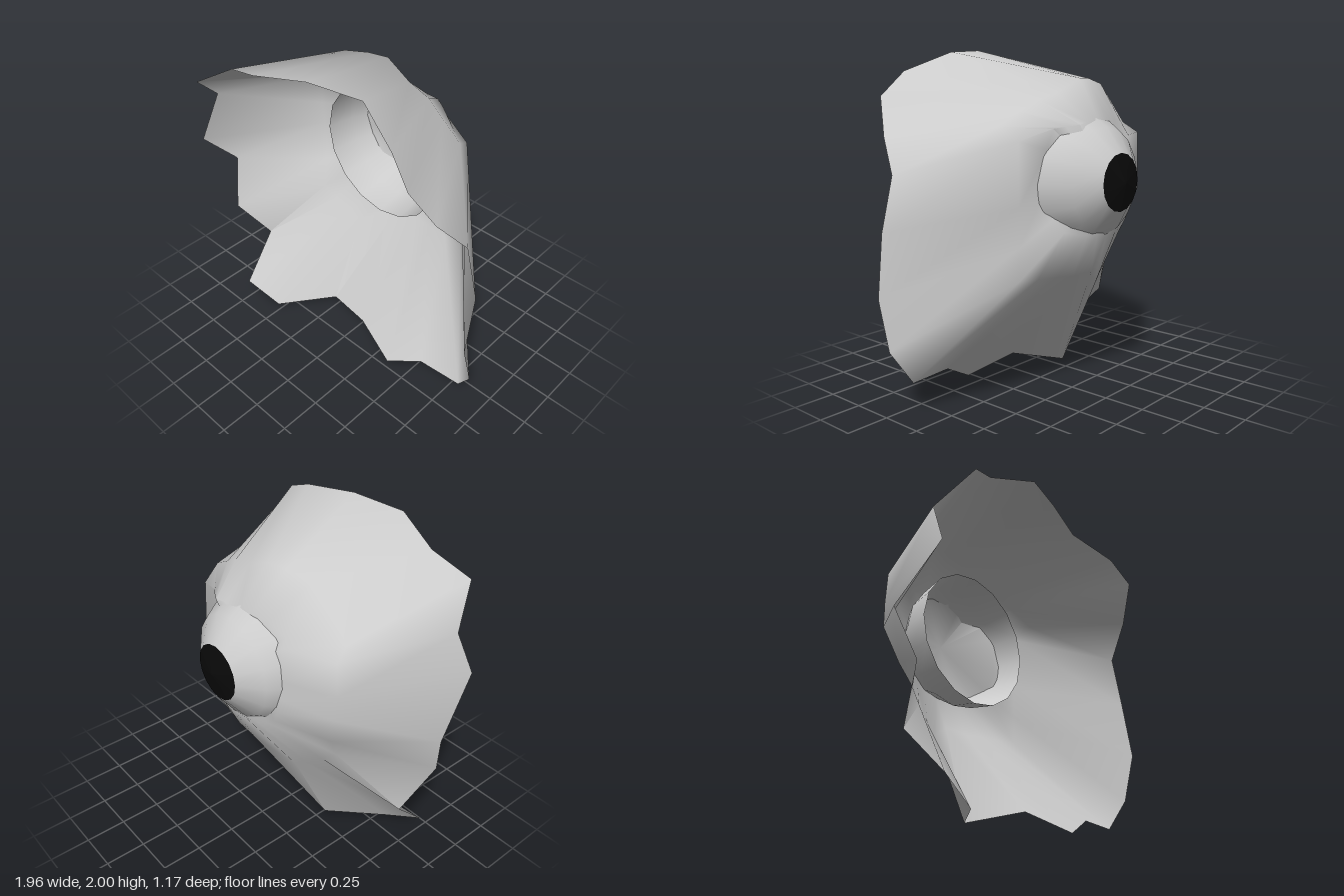
import * as THREE from 'three';
import { toCreasedNormals } from 'three/addons/utils/BufferGeometryUtils.js';

const grey = new THREE.MeshStandardMaterial({ color: 0xcccccc, side: THREE.DoubleSide });
const black = new THREE.MeshStandardMaterial({ color: 0x0a0a0a, side: THREE.DoubleSide });

// Ragged outer edge of the skin, clockwise from the top
const border = [
  [0.03, 2.0, 0.48], [0.33, 1.98, 0.4], [0.6, 1.87, 0.5], [0.74, 1.73, 0.54],
  [0.82, 1.51, 0.42], [0.9, 1.32, 0.26], [0.98, 1.02, 0.26], [0.98, 0.65, 0.31],
  [0.98, 0.37, 0.23], [0.87, 0.18, 0.17], [0.6, 0.18, 0.19], [0.38, 0.06, 0.25],
  [0.08, 0.14, 0.16], [-0.28, 0.03, 0.05], [-0.54, 0, 0.35], [-0.77, 0.11, 0.41],
  [-0.81, 0.38, 0.15], [-0.9, 0.66, 0.33], [-0.98, 0.96, 0.23], [-0.92, 1.26, 0.5],
  [-0.88, 1.54, 0.38], [-0.77, 1.74, 0.58], [-0.56, 1.86, 0.49], [-0.27, 1.96, 0.57],
];

// Shoulder loop where the skin turns towards the eye, with the lower flap and the side bulges
const shoulder = [
  [-0.08, 1.83, -0.23], [0.1, 1.75, -0.21], [0.25, 1.71, -0.2], [0.37, 1.65, -0.17],
  [0.52, 1.57, -0.14], [0.48, 1.5, -0.26], [0.49, 1.15, -0.27], [0.49, 0.93, -0.27],
  [0.49, 0.75, -0.27], [0.36, 0.74, -0.29], [0.22, 0.73, -0.31], [0.1, 0.72, -0.33],
  [-0.06, 0.72, -0.34], [-0.28, 0.57, -0.2], [-0.36, 0.63, -0.18], [-0.45, 0.7, -0.15],
  [-0.53, 0.77, -0.12], [-0.57, 0.93, -0.2], [-0.65, 1.15, -0.26], [-0.66, 1.3, -0.25],
  [-0.65, 1.5, -0.25], [-0.62, 1.56, -0.16], [-0.36, 1.8, -0.17], [-0.2, 1.83, -0.2],
];

// Loop hidden around the eyeball
const socket = [
  [-0.04, 1.6, -0.39], [0.07, 1.59, -0.4], [0.15, 1.58, -0.41], [0.22, 1.57, -0.37],
  [0.28, 1.56, -0.33], [0.31, 1.45, -0.31], [0.32, 1.2, -0.29], [0.29, 1.07, -0.34],
  [0.25, 1.0, -0.39], [0.18, 0.98, -0.42], [0.12, 0.97, -0.44], [0.05, 0.97, -0.46],
  [-0.04, 0.97, -0.46], [-0.14, 0.96, -0.45], [-0.22, 0.97, -0.43], [-0.28, 0.99, -0.41],
  [-0.33, 1.03, -0.4], [-0.36, 1.1, -0.4], [-0.38, 1.19, -0.39], [-0.38, 1.3, -0.38],
  [-0.37, 1.5, -0.37], [-0.36, 1.55, -0.34], [-0.24, 1.6, -0.36], [-0.13, 1.61, -0.38],
];

// Skin: loops joined into bands, closed by a fan behind the eye
function skinGeometry() {
  const loops = [border, shoulder, socket];
  const n = border.length;
  const index = [];
  for (let j = 0; j < n; j++) {
    const k = (j + 1) % n;
    for (let i = 0; i < loops.length - 1; i++) {
      const a = i * n + j, b = i * n + k, c = a + n, d = b + n;
      index.push(a, b, c, b, d, c);
    }
    index.push(2 * n + j, 2 * n + k, 3 * n);
  }
  const g = new THREE.BufferGeometry();
  g.setAttribute('position', new THREE.Float32BufferAttribute([...loops.flat(2), -0.08, 1.27, -0.39], 3));
  g.setIndex(index);
  return toCreasedNormals(g, 1.2);
}

// Rows of the half eyeball between two steps of 22.5 degrees, pole pointing to -z
function eyeRows(first, last) {
  const profile = [];
  for (let i = last; i >= first; i--) {
    const t = (i * Math.PI) / 8;
    profile.push(new THREE.Vector2(0.43 * Math.sin(t), 0.465 * Math.cos(t)));
  }
  return new THREE.LatheGeometry(profile, 16).rotateX(-Math.PI / 2).translate(-0.035, 1.26, -0.125);
}

export function createModel() {
  const model = new THREE.Group();
  const add = (name, geometry, material) => {
    const mesh = new THREE.Mesh(geometry, material);
    mesh.name = name;
    model.add(mesh);
  };
  add('skin', skinGeometry(), grey);
  add('eyeball', eyeRows(1, 4), grey);
  add('pupil', eyeRows(0, 1), black);
  return model;
}
